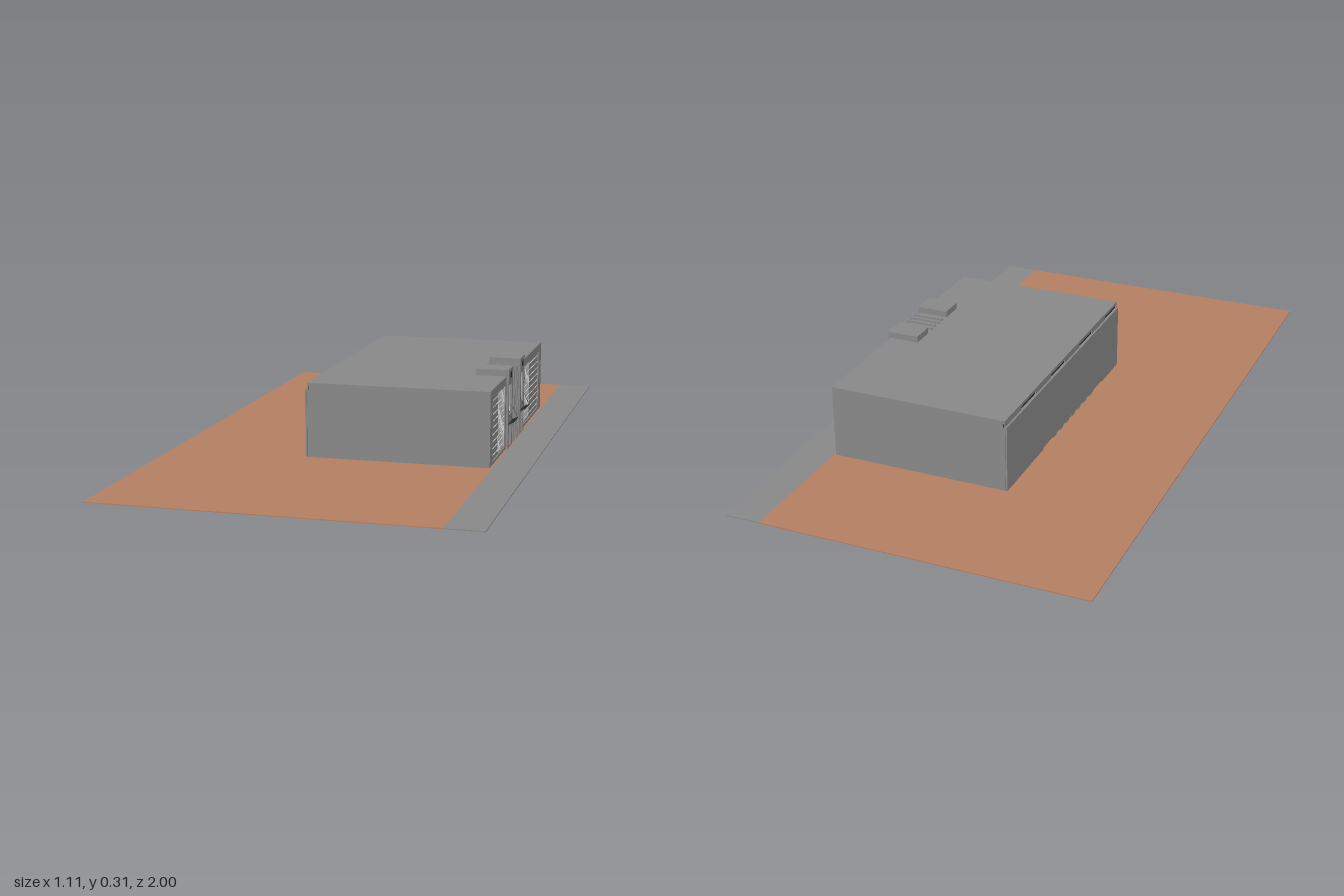
import * as THREE from 'three';

const paint = color => new THREE.MeshStandardMaterial({ color, side: THREE.DoubleSide });
const grey = paint(0x888888);
const light = paint(0xcccccc);
const brown = paint(0xb47e62);
const dark = paint(0x2c2c2c);

// Box given by its limits on each axis
function box(parent, name, [x0, x1], [y0, y1], [z0, z1], mat = grey) {
  const mesh = new THREE.Mesh(new THREE.BoxGeometry(x1 - x0, y1 - y0, z1 - z0), mat);
  mesh.position.set((x0 + x1) / 2, (y0 + y1) / 2, (z0 + z1) / 2);
  mesh.name = name;
  parent.add(mesh);
  return mesh;
}

// Upright wall lying in the z-y plane, with rectangular openings [z0, z1, y0, y1]
function wall(parent, name, [x0, x1], [y0, y1], [z0, z1], openings) {
  const rect = (target, a, b, c, d) => {
    target.moveTo(-a, c);
    target.lineTo(-b, c);
    target.lineTo(-b, d);
    target.lineTo(-a, d);
    target.closePath();
    return target;
  };
  const shape = rect(new THREE.Shape(), z0, z1, y0, y1);
  for (const [a, b, c, d] of openings) shape.holes.push(rect(new THREE.Path(), a, b, c, d));
  const geo = new THREE.ExtrudeGeometry(shape, { depth: x1 - x0, bevelEnabled: false });
  geo.rotateY(Math.PI / 2);
  geo.translate(x0, 0, 0);
  const mesh = new THREE.Mesh(geo, grey);
  mesh.name = name;
  parent.add(mesh);
}

// Disc facing +x
function disc(parent, name, x, y, z, radius, depth, mat = grey) {
  const mesh = new THREE.Mesh(new THREE.CylinderGeometry(radius, radius, depth, 20), mat);
  mesh.rotation.z = Math.PI / 2;
  mesh.position.set(x, y, z);
  mesh.name = name;
  parent.add(mesh);
}

const Z = [-0.572, 0.345];
const GROUND = 0.06;

// Window bay: shallow recessed panel with pale glazing bars and a block of mullions
function windowBay(parent, [z0, z1], [m0, m1]) {
  const bay = new THREE.Group();
  bay.name = 'windowBay';
  box(bay, 'recessedPanel', [0.432, 0.436], [0.07, 0.265], [z0, z1]);
  for (let i = 0; i < 9; i++) {
    const y = 0.084 + i * 0.021;
    box(bay, 'glazingBar', [0.436, 0.438], [y, y + 0.002], [z0, z1], light);
  }
  for (let i = 0; i < 6; i++) {
    const z = m0 + (m1 - m0) * i / 5;
    box(bay, 'mullion', [0.436, 0.438], [0.075, 0.26], [z - 0.001, z + 0.001], light);
  }
  parent.add(bay);
}

// Entrance tower with doorway, tall window, canopy and tie rods
function entranceTower(zc) {
  const tower = new THREE.Group();
  tower.name = 'entranceTower';
  const h = 0.038;
  wall(tower, 'towerFront', [0.43, 0.447], [GROUND, 0.31], [-h, h],
    [[-0.022, 0.022, 0.061, 0.13], [-0.022, 0.022, 0.165, 0.26]]);
  box(tower, 'towerCap', [0.345, 0.43], [0.285, 0.31], [-h, h]);
  box(tower, 'windowPanel', [0.434, 0.44], [0.16, 0.265], [-0.025, 0.025]);
  for (const z of [-0.012, 0, 0.012])
    box(tower, 'windowBar', [0.44, 0.443], [0.165, 0.26], [z - 0.001, z + 0.001], light);
  for (const s of [-1, 1])
    box(tower, 'doorJamb', [0.434, 0.44], [0, GROUND], [s * 0.036 - 0.001, s * 0.036 + 0.001]);
  box(tower, 'doorHeader', [0.434, 0.438], [0.11, 0.115], [-0.022, 0.022]);
  box(tower, 'doorstep', [0.425, 0.445], [GROUND, 0.067], [-0.021, 0.021], brown);
  // Thin canopy, tipped up towards the street
  const canopy = box(tower, 'canopy', [-0.01, 0.01], [-0.0006, 0.0006], [-0.041, 0.041], dark);
  canopy.position.set(0.456, 0.144, 0);
  canopy.rotation.z = 0.37;
  for (const z of [-0.034, 0.034]) {
    const path = new THREE.LineCurve3(new THREE.Vector3(0.447, 0.185, z), new THREE.Vector3(0.465, 0.147, z));
    const rod = new THREE.Mesh(new THREE.TubeGeometry(path, 1, 0.0005, 6), dark);
    rod.name = 'tieRod';
    tower.add(rod);
  }
  disc(tower, 'roundel', 0.447, 0.29, 0, 0.01, 0.003, dark);
  tower.position.z = zc;
  return tower;
}

export function createModel() {
  const model = new THREE.Group();
  model.name = 'hall';

  // Ground sheet and pavement strip
  box(model, 'ground', [-0.557, 0.447], [GROUND - 0.002, GROUND + 0.001], [-1, 1], brown);
  box(model, 'pavement', [0.447, 0.557], [GROUND - 0.002, GROUND + 0.001], [-1, 1]);

  const towers = [0.052, -0.158];

  // Main block: roof, end walls, street wall and rear wall
  box(model, 'roof', [-0.122, 0.438], [0.28, 0.29], Z);
  for (const z of [Z[0], Z[1] - 0.004])
    box(model, 'endWall', [-0.122, 0.438], [0, 0.28], [z, z + 0.004]);
  const doors = towers.map(z => [z - 0.034, z + 0.034, 0.0005, 0.27]);
  wall(model, 'streetWall', [0.434, 0.44], [0, 0.29], Z, [
    ...doors,
    [0.105, 0.305, 0.07, 0.265],
    [-0.525, -0.21, 0.07, 0.265],
  ]);
  const rearOpenings = [[0.12, 0.2, 0.0005, 0.066], [-0.3, -0.22, 0.0005, 0.066]];
  for (let i = 0; i < 6; i++) {
    const z = -0.19 + i * 0.05;
    rearOpenings.push([z, z + 0.025, 0.048, 0.066]);
  }
  wall(model, 'rearWall', [-0.128, -0.123], [0, 0.27], Z, rearOpenings);
  box(model, 'rearLedge', [-0.128, -0.115], [0.267, 0.27], Z);

  // Clerestory strip above the rear wall
  box(model, 'clerestoryGlass', [-0.119, -0.117], [0.27, 0.28], Z, dark);
  for (let i = 0; i < 4; i++) {
    const z = Z[0] + i * 0.23;
    box(model, 'clerestoryPier', [-0.122, -0.117], [0.27, 0.28], [z, z + 0.12]);
  }

  // Street front
  windowBay(model, [0.105, 0.305], [0.11, 0.2]);
  windowBay(model, [-0.525, -0.21], [-0.34, -0.235]);
  for (const z of [0.322, -0.55])
    for (const y of [0.12, 0.22]) disc(model, 'medallion', 0.44, y, z, 0.012, 0.002);
  for (const z of towers) model.add(entranceTower(z));

  // Fins between the towers, carried back over the roof, with pale strips between
  for (let i = 0; i < 4; i++) {
    const z = -0.09 + i * 0.025;
    box(model, 'roofFin', [0.345, 0.447], [0.285, 0.297], [z - 0.003, z + 0.003]);
    box(model, 'frontFin', [0.438, 0.447], [GROUND, 0.297], [z - 0.003, z + 0.003]);
  }
  for (let i = 0; i < 5; i++) {
    const z = -0.1025 + i * 0.025;
    box(model, 'paleStrip', [0.438, 0.441], [0.07, 0.265], [z - 0.001, z + 0.001], light);
  }

  // Low partitions under the floor
  box(model, 'partition', [-0.03, 0.04], [0.015, GROUND], [-0.035, -0.032]);
  box(model, 'partition', [-0.03, -0.027], [0.015, GROUND], [-0.05, 0.04]);
  box(model, 'partition', [-0.12, -0.05], [0.02, GROUND], [-0.46, -0.457]);
  return model;
}
